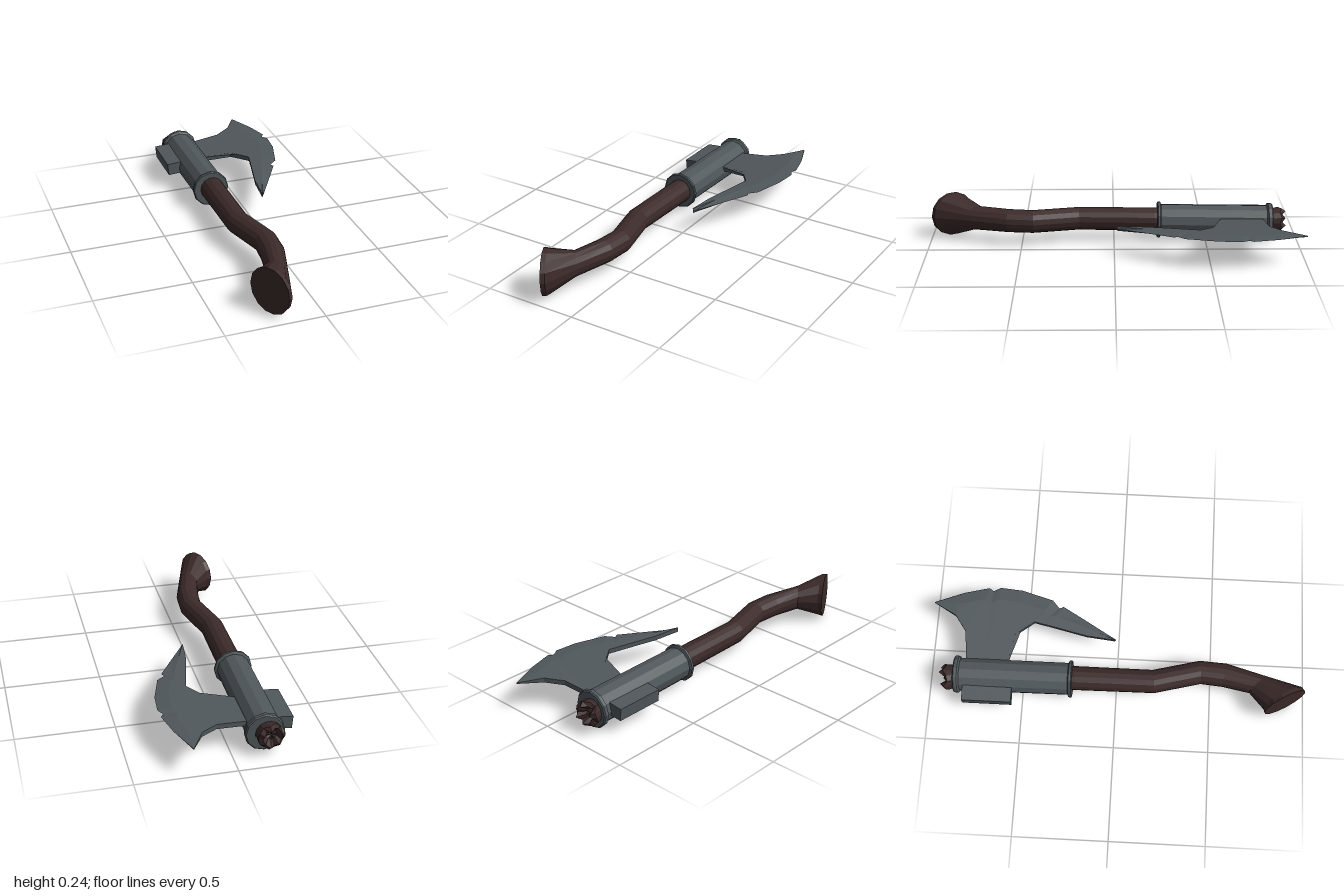
import * as THREE from 'three';

const metal = new THREE.MeshStandardMaterial({ color: 0x50575b });
metal.name = 'dark steel';
const wood = new THREE.MeshStandardMaterial({ color: 0x3b2a29 });
wood.name = 'dark wood';

// Faceted mesh
function part(name, geometry, material) {
  const flat = geometry.index ? geometry.toNonIndexed() : geometry;
  flat.computeVertexNormals();
  const mesh = new THREE.Mesh(flat, material);
  mesh.name = name;
  return mesh;
}

// Joins closed cross-sections (counter-clockwise seen from the far end) and caps both ends
function loft(rings) {
  const n = rings[0].length, last = rings.length - 1;
  const pos = rings.flat().flatMap(p => [p.x, p.y, p.z]);
  const index = [];
  const at = (i, j) => i * n + (j % n);
  for (let i = 0; i < last; i++) {
    for (let j = 0; j < n; j++) {
      const a = at(i, j), b = at(i, j + 1), c = at(i + 1, j), d = at(i + 1, j + 1);
      index.push(a, b, c, b, d, c);
    }
  }
  for (const i of [0, last]) {
    const mid = new THREE.Vector3();
    rings[i].forEach(p => mid.addScaledVector(p, 1 / n));
    const m = pos.length / 3;
    pos.push(mid.x, mid.y, mid.z);
    for (let j = 0; j < n; j++) {
      if (i === 0) index.push(m, at(i, j + 1), at(i, j));
      else index.push(m, at(i, j), at(i, j + 1));
    }
  }
  const g = new THREE.BufferGeometry();
  g.setAttribute('position', new THREE.Float32BufferAttribute(pos, 3));
  g.setIndex(index);
  return g;
}

// Ring of the handle, turned about y by an angle; jag shifts each point along the axis
function ring(x, y, z, r, turn = 0, jag = null) {
  const sides = 14;
  return Array.from({ length: sides }, (_, j) => {
    const a = (j / sides) * Math.PI * 2;
    const u = r * Math.cos(a);
    return new THREE.Vector3(
      x + u * Math.cos(turn),
      y + r * Math.sin(a),
      z - u * Math.sin(turn) + (jag ? jag[j] : 0));
  });
}

export function createModel() {
  const model = new THREE.Group();
  model.name = 'battleAxe';

  // Crooked handle: splintered end, straight grip, bend, flared pommel
  const jag = [-0.02, -0.035, -0.02, -0.04, -0.01, 0, -0.03, -0.02, 0, -0.02, -0.005, -0.03, -0.01, -0.04];
  const handle = [
    ring(-0.19, 0.104, -0.875, 0.025, 0, jag.map(v => v * 0.6)),
    ring(-0.187, 0.104, -0.9, 0.05, 0, jag),
    ring(-0.185, 0.104, -0.89, 0.068, 0, jag.map(v => v * 0.7)),
    ring(-0.175, 0.104, -0.84, 0.058),
    ring(-0.16, 0.116, -0.22, 0.064),
    ring(-0.16, 0.122, 0.195, 0.062, 0.12),
    ring(-0.098, 0.127, 0.44, 0.062, 0.1),
    ring(-0.108, 0.129, 0.57, 0.063, -0.15),
    ring(-0.153, 0.13, 0.75, 0.066, -0.86),
    ring(-0.22, 0.125, 0.88, 0.118, -1.07),
    ring(-0.241, 0.125, 0.89, 0.122, -1.07),
  ];
  model.add(part('handle', loft(handle), wood));

  // Socket sleeve with a collar at each end
  const profile = [
    [0.05, -0.314], [0.094, -0.314], [0.1, -0.308], [0.1, -0.29], [0.088, -0.282],
    [0.086, 0.292], [0.1, 0.298], [0.1, 0.31], [0.095, 0.314], [0.05, 0.314],
  ].map(p => new THREE.Vector2(...p));
  const sleeve = new THREE.LatheGeometry(profile, 12);
  sleeve.rotateX(Math.PI / 2);
  const socket = part('socket', sleeve, metal);
  socket.position.set(-0.165, 0.107, -0.548);
  socket.rotation.x = -0.0176;
  model.add(socket);

  // Blade and poll share a slight tilt about the handle
  const head = new THREE.Group();
  head.name = 'axeHead';
  head.position.set(-0.165, 0.122, 0);
  head.rotation.z = 0.09;
  model.add(head);

  const poll = part('poll', new THREE.BoxGeometry(0.1, 0.066, 0.26), metal);
  poll.position.set(-0.102, 0, -0.68);
  head.add(poll);

  // Blade sections from the back horn to the front horn: inner x, z, then cutting edge x, z
  const sections = [
    [0.217, -1.0, 0.222, -0.997], [0.15, -0.88, 0.28, -0.845], [0.064, -0.82, 0.305, -0.745],
    [-0.12, -0.8, 0.313, -0.71], [-0.12, -0.72, 0.297, -0.687], [-0.12, -0.66, 0.318, -0.65],
    [-0.12, -0.585, 0.308, -0.53], [0.058, -0.554, 0.285, -0.45], [0.133, -0.453, 0.26, -0.363],
    [0.125, -0.42, 0.217, -0.326], [0.117, -0.38, 0.228, -0.305], [0.069, -0.172, 0.15, -0.17],
    [0.053, -0.02, 0.058, -0.013],
  ];
  const blade = sections.map(([ix, iz, ex, ez], i) => {
    const h = i === 0 ? 0.003 : 0.013;
    const t = Math.min(0.5, 0.07 / Math.hypot(ix - ex, iz - ez));
    const mx = ex + (ix - ex) * t, mz = ez + (iz - ez) * t;
    return [[ix, -h, iz], [mx, -h * 0.9, mz], [ex, 0, ez], [mx, h * 0.9, mz], [ix, h, iz]]
      .map(([x, y, z]) => new THREE.Vector3(x + 0.165, y, z));
  });
  head.add(part('blade', loft(blade), metal));

  return model;
}
